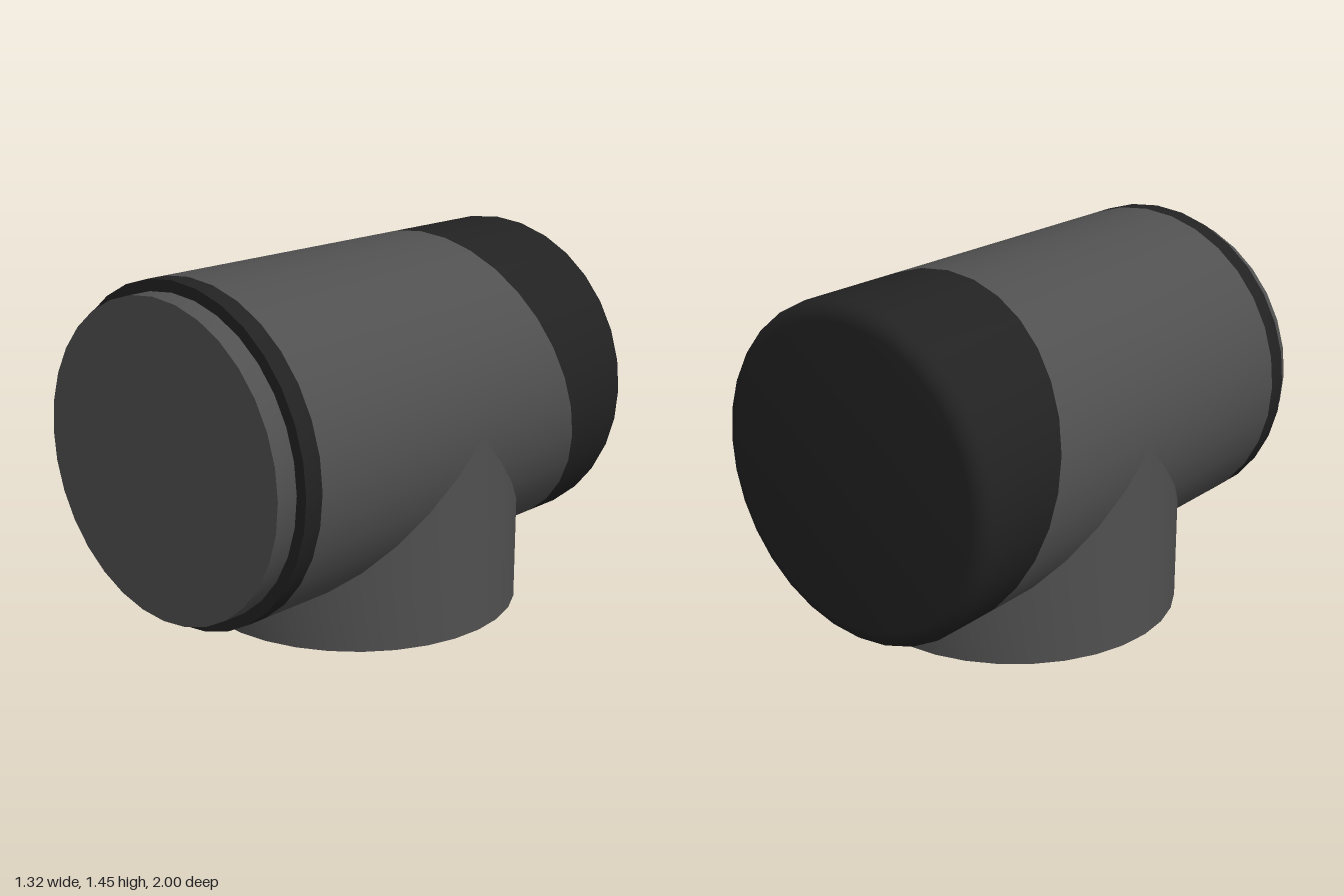
import * as THREE from 'three';
import { toCreasedNormals } from 'three/addons/utils/BufferGeometryUtils.js';

const R = 0.66;        // pipe radius
const PLUG = 0.615;    // radius of the plug and of the socket bore
const AXIS_Y = 0.79;   // height of the main pipe's axis
const STEM_Z = -0.05;  // position of the branch axis
const SIDES = 32;

// Revolved profile of [radius, height] pairs, with sharp corners kept
function revolve(profile, adjust) {
  const g = new THREE.LatheGeometry(profile.map(([r, h]) => new THREE.Vector2(r, h)), SIDES);
  if (adjust) {
    const p = g.attributes.position;
    for (let i = 0; i < p.count; i++) adjust(p, i, i % profile.length);
  }
  return toCreasedNormals(g, 0.6);
}

export function createModel() {
  const group = new THREE.Group();
  const grey = new THREE.MeshStandardMaterial({ color: 0x505050, side: THREE.DoubleSide });
  const dark = new THREE.MeshStandardMaterial({ color: 0x222222, side: THREE.DoubleSide });

  const add = (name, geometry, material) => {
    const mesh = new THREE.Mesh(geometry, material);
    mesh.name = name;
    group.add(mesh);
    return mesh;
  };
  // Parts of the main pipe lie along z
  const addAlongZ = (name, geometry, material) => {
    const mesh = add(name, geometry, material);
    mesh.rotation.x = Math.PI / 2;
    mesh.position.y = AXIS_Y;
  };
  // Slanted joint between pipe and end cap (local z points down)
  const slant = row => (p, i, j) => {
    if (j === row) p.setY(i, -0.615 - p.getZ(i) * 0.265);
  };

  // Main pipe
  addAlongZ('mainPipe', revolve([[R, -0.6], [R, 0.83]], slant(0)), grey);

  // End cap with rounded rim
  const cap = [[0, -1]];
  const round = 0.07;
  for (let k = 0; k <= 6; k++) {
    const a = (k / 6) * Math.PI / 2;
    cap.push([R - round + round * Math.sin(a), -1 + round - round * Math.cos(a)]);
  }
  cap.push([R, -0.6]);
  addAlongZ('endCap', revolve(cap, slant(cap.length - 1)), dark);

  // Front collar and plug
  addAlongZ('frontCollar', revolve([[R, 0.83], [R, 0.91], [PLUG, 0.91]]), dark);
  addAlongZ('frontPlug', revolve([[PLUG, 0.91], [PLUG, 1], [0, 1]]), grey);

  // Branch with a shallow socket below, mitred into the main pipe
  const stem = [[0, 0.09], [PLUG, 0.09], [PLUG, 0], [R, 0], [R, 0.5]];
  const branch = add('branchPipe', revolve(stem, (p, i, j) => {
    if (j === stem.length - 1) p.setY(i, AXIS_Y - Math.abs(p.getZ(i)));
  }), grey);
  branch.position.z = STEM_Z;

  return group;
}
